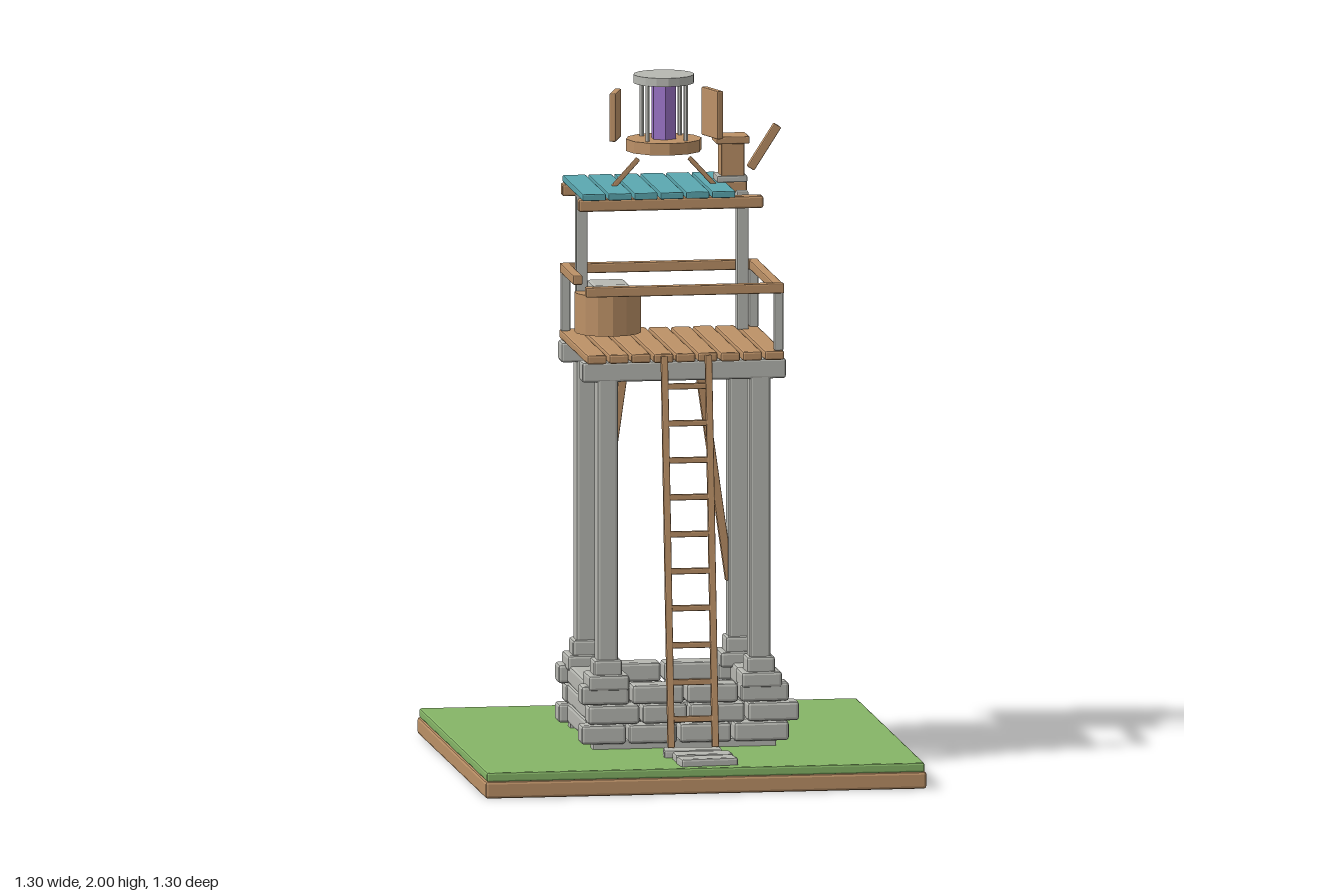
import * as THREE from 'three';
import { RoundedBoxGeometry } from 'three/addons/geometries/RoundedBoxGeometry.js';

const mat = (name, color) => {
  const m = new THREE.MeshStandardMaterial({ color, flatShading: true });
  m.name = name;
  return m;
};

export function createModel() {
  const model = new THREE.Group();
  const wood = mat('wood', 0xbc9167);
  const stone = mat('stone', 0xb7b8b2);
  const grass = mat('grass', 0x86b567);
  const teal = mat('teal paint', 0x5ba8b0);
  const purple = mat('purple crystal', 0x9b73c6);

  const group = (name) => {
    const g = new THREE.Group();
    g.name = name;
    model.add(g);
    return g;
  };
  const add = (parent, name, geo, m, x, y, z) => {
    const mesh = new THREE.Mesh(geo, m);
    mesh.name = name;
    mesh.position.set(x, y, z);
    parent.add(mesh);
    return mesh;
  };
  // chamfered box given by its extents on each axis
  const box = (parent, name, m, [x0, x1], [y0, y1], [z0, z1], bevel = 0.004) =>
    add(parent, name, new RoundedBoxGeometry(x1 - x0, y1 - y0, z1 - z0, 1, bevel), m,
      (x0 + x1) / 2, (y0 + y1) / 2, (z0 + z1) / 2);
  const cyl = (parent, name, m, r, y0, y1, x, z, sides) =>
    add(parent, name, new THREE.CylinderGeometry(r, r, y1 - y0, sides), m, x, (y0 + y1) / 2, z);
  // square bar between two points
  const bar = (parent, name, m, a, b, w) => {
    const p = new THREE.Vector3(...a), q = new THREE.Vector3(...b);
    const d = q.clone().sub(p), mid = p.clone().add(q).multiplyScalar(0.5);
    const mesh = add(parent, name, new RoundedBoxGeometry(w, d.length(), w, 1, 0.003), m, mid.x, mid.y, mid.z);
    mesh.quaternion.setFromUnitVectors(new THREE.Vector3(0, 1, 0), d.normalize());
    return mesh;
  };

  // ground
  const ground = group('ground');
  box(ground, 'soil', wood, [-0.65, 0.65], [0, 0.05], [-0.65, 0.65], 0.008);
  box(ground, 'grass', grass, [-0.645, 0.645], [0.048, 0.076], [-0.645, 0.645], 0.006);
  [[-0.002, 0.405, -0.1], [0.015, 0.489, 0], [0.015, 0.575, 0.08]].forEach(([x, z, r]) => {
    box(ground, 'steppingStone', stone, [x - 0.085, x + 0.085], [0.07, 0.098], [z - 0.035, z + 0.035], 0.007).rotation.y = r;
  });

  // stone wall: three courses, four blocks in front and back, one long block per side
  const wall = group('stoneWall');
  const courses = [
    [-0.31, -0.17, -0.02, 0.14, 0.31],
    [-0.29, -0.13, 0.01, 0.18, 0.34],
    [-0.31, -0.16, 0, 0.16, 0.31],
  ];
  courses.forEach((xs, i) => {
    const ys = [0.092 + i * 0.058, 0.148 + i * 0.058];
    for (const s of [-1, 1]) {
      for (let k = 0; k < 4; k++)
        box(wall, 'wallBlock', stone, [xs[k] + 0.004, xs[k + 1] - 0.004], ys, [s * 0.218 - 0.037, s * 0.218 + 0.037], 0.009);
      box(wall, 'sideBlock', stone, [s * 0.24 - 0.04, s * 0.24 + 0.04], ys, [-0.19, 0.19], 0.009);
    }
  });
  box(wall, 'wallFooting', stone, [-0.27, 0.27], [0.07, 0.1], [0.19, 0.24]);
  box(wall, 'wallFooting', stone, [-0.27, 0.27], [0.07, 0.1], [-0.24, -0.19]);

  // pillars with stepped feet, and the beams across them
  const frame = group('towerFrame');
  for (const z of [-0.2, 0.2]) {
    for (const x of [-0.225, 0.225]) {
      box(frame, 'pillar', stone, [x - 0.031, x + 0.031], [0.25, 1.17], [z - 0.033, z + 0.033], 0.009);
      box(frame, 'pillarFoot', stone, [x - 0.06, x + 0.06], [0.25, 0.295], [z - 0.06, z + 0.06], 0.008);
      box(frame, 'pillarCollar', stone, [x - 0.042, x + 0.042], [0.285, 0.338], [z - 0.042, z + 0.042], 0.008);
    }
    box(frame, 'crossBeam', stone, [-0.3, 0.3], [1.155, 1.214], [z - 0.034, z + 0.034], 0.007);
  }
  for (const s of [-1, 1])
    bar(frame, 'brace', wood, [s * 0.105, 1.17, -0.2], [s * 0.2, 0.5, -0.2], 0.024);

  // deck
  const deck = group('deck');
  for (let i = 0; i < 9; i++) {
    const x = -0.262 + i * 0.0655, e = (i % 3) * 0.004;
    box(deck, 'deckPlank', wood, [x - 0.029, x + 0.029], [1.213, 1.24], [-0.27 + e, 0.268 - e], 0.006);
  }

  // railing, with one corner broken away
  const railing = group('railing');
  for (const [x, z] of [[0.277, 0.235], [0.277, -0.238], [-0.277, -0.238]])
    box(railing, 'railPost', stone, [x - 0.013, x + 0.013], [1.238, 1.412], [z - 0.013, z + 0.013]);
  for (const z of [-0.238, 0.238])
    box(railing, 'rail', wood, [-0.292, 0.292], [1.408, 1.437], [z - 0.015, z + 0.015]);
  box(railing, 'rail', wood, [0.263, 0.291], [1.408, 1.436], [-0.252, 0.252]);
  box(railing, 'brokenRail', wood, [-0.291, -0.263], [1.408, 1.436], [-0.252, 0]);

  // barrel with a stone on top
  const barrel = group('barrel');
  cyl(barrel, 'barrelBody', wood, 0.097, 1.245, 1.363, -0.165, -0.155, 14);
  box(barrel, 'barrelStone', stone, [-0.22, -0.108], [1.36, 1.392], [-0.215, -0.085], 0.01);

  // ladder
  const ladder = group('ladder');
  const zAt = (y) => 0.402 - (y - 0.1) * 0.115;
  for (const s of [-1, 1])
    bar(ladder, 'ladderRail', wood, [s * 0.065, 0.1, zAt(0.1)], [s * 0.065, 1.235, zAt(1.235)], 0.02);
  for (let i = 0; i < 10; i++) {
    const y = 0.183 + i * 0.107;
    bar(ladder, 'rung', wood, [-0.072, y, zAt(y)], [0.072, y, zAt(y)], 0.017);
  }

  // roof
  const roof = group('roof');
  for (const x of [-0.237, 0.237])
    box(roof, 'roofPost', stone, [x - 0.017, x + 0.017], [1.238, 1.645], [-0.213, -0.179]);
  for (const z of [-0.346, -0.032])
    box(roof, 'roofBeam', wood, [-0.272, 0.272], [1.62, 1.656], [z - 0.019, z + 0.019], 0.006);
  for (let i = 0; i < 6; i++) {
    const x = -0.229 + i * 0.0762;
    box(roof, 'roofPlank', teal, [x - 0.034, x + 0.034], [1.655, 1.675], [-0.384, 0.004], 0.003);
  }

  // lantern
  const lantern = group('lantern');
  const lz = -0.157;
  cyl(lantern, 'lanternBase', wood, 0.111, 1.776, 1.811, 0, lz, 12);
  cyl(lantern, 'crystal', purple, 0.038, 1.81, 1.967, 0, lz, 6);
  cyl(lantern, 'lanternCap', stone, 0.089, 1.975, 2, 0, lz, 16);
  for (let i = 0; i < 4; i++) {
    const a = Math.PI / 4 + i * Math.PI / 2;
    cyl(lantern, 'lanternRod', stone, 0.007, 1.808, 1.978, Math.cos(a) * 0.092 * 0.87, lz + Math.sin(a) * 0.08, 6);
  }
  for (const s of [-1, 1]) {
    const shutter = box(lantern, 'shutter', wood, [s * 0.143 - 0.01, s * 0.143 + 0.01], [1.811, 1.953], [lz - 0.054, lz + 0.054]);
    shutter.rotation.y = s * 0.3;
    bar(lantern, 'strut', wood, [s * 0.15, 1.67, lz], [s * 0.075, 1.752, lz], 0.014);
  }

  // winch box with its lever
  const winch = group('winch');
  box(winch, 'winchBase', stone, [0.158, 0.248], [1.675, 1.694], [-0.248, -0.162]);
  box(winch, 'winchBody', wood, [0.172, 0.24], [1.69, 1.795], [-0.238, -0.17]);
  box(winch, 'winchTop', wood, [0.156, 0.254], [1.788, 1.81], [-0.25, -0.16]);
  bar(winch, 'lever', wood, [0.262, 1.71, -0.203], [0.342, 1.835, -0.203], 0.024);

  return model;
}
